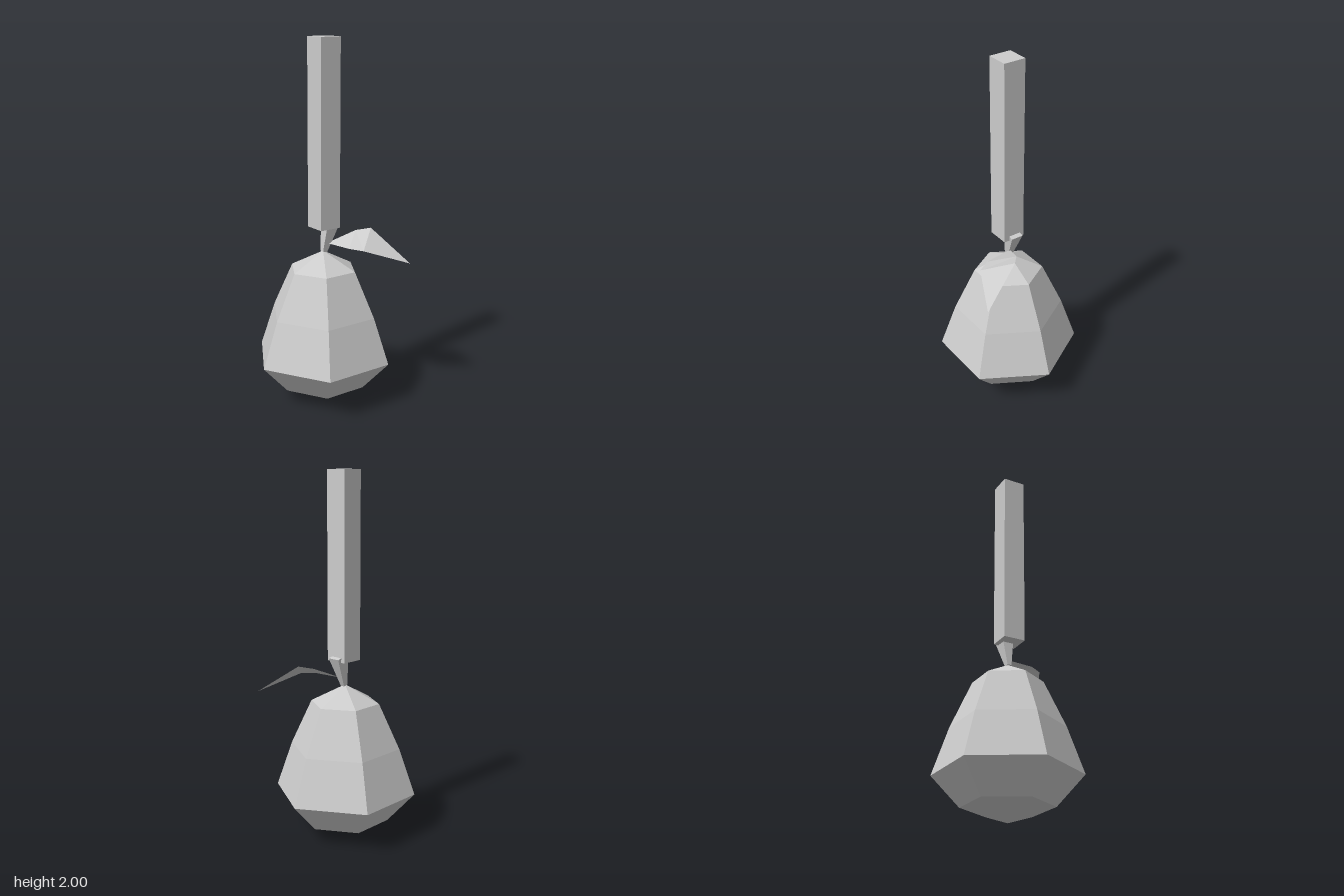
import * as THREE from 'three';

export function createModel() {
  const model = new THREE.Group();
  const grey = new THREE.MeshStandardMaterial({ color: 0xcccccc, flatShading: true, side: THREE.DoubleSide });
  grey.name = 'lightGrey';

  const add = (name, geometry, x = 0, y = 0, z = 0) => {
    const mesh = new THREE.Mesh(geometry, grey);
    mesh.name = name;
    mesh.position.set(x, y, z);
    model.add(mesh);
    return mesh;
  };

  // Six-sided fruit body, corners on the x axis
  const profile = [[0, 0], [0.243, 0.08], [0.393, 0.245], [0.305, 0.5], [0.19, 0.75], [0, 0.85]];
  add('fruitBody', new THREE.LatheGeometry(
    profile.map(([r, y]) => new THREE.Vector2(r, y)), 6, Math.PI / 6), 0, 0, -0.01);

  // Square hanging post
  add('hangingPost', new THREE.BoxGeometry(0.124, 1.015, 0.124), 0, 1.4925, -0.002);

  // Square stem, flaring and leaning to the left
  const stemGeometry = new THREE.CylinderGeometry(0.058, 0.02, 0.175, 4, 1, false, Math.PI / 4);
  stemGeometry.scale(1, 1, 0.85);
  add('stem', stemGeometry, 0.025, 0.93, -0.006).rotation.z = -0.26;

  // Folded leaf: base point, two cross pairs, tip
  const leaf = new THREE.BufferGeometry();
  leaf.setAttribute('position', new THREE.Float32BufferAttribute([
    0.022, 0.89, -0.005,
    0.17, 0.955, 0.06,
    0.047, 0.893, 0.165,
    0.233, 0.97, 0.115,
    0.088, 0.89, 0.237,
    0.32, 0.808, 0.347,
  ], 3));
  leaf.setIndex([0, 2, 1, 1, 2, 4, 1, 4, 3, 3, 4, 5]);
  leaf.computeVertexNormals();
  add('leaf', leaf);

  return model;
}
